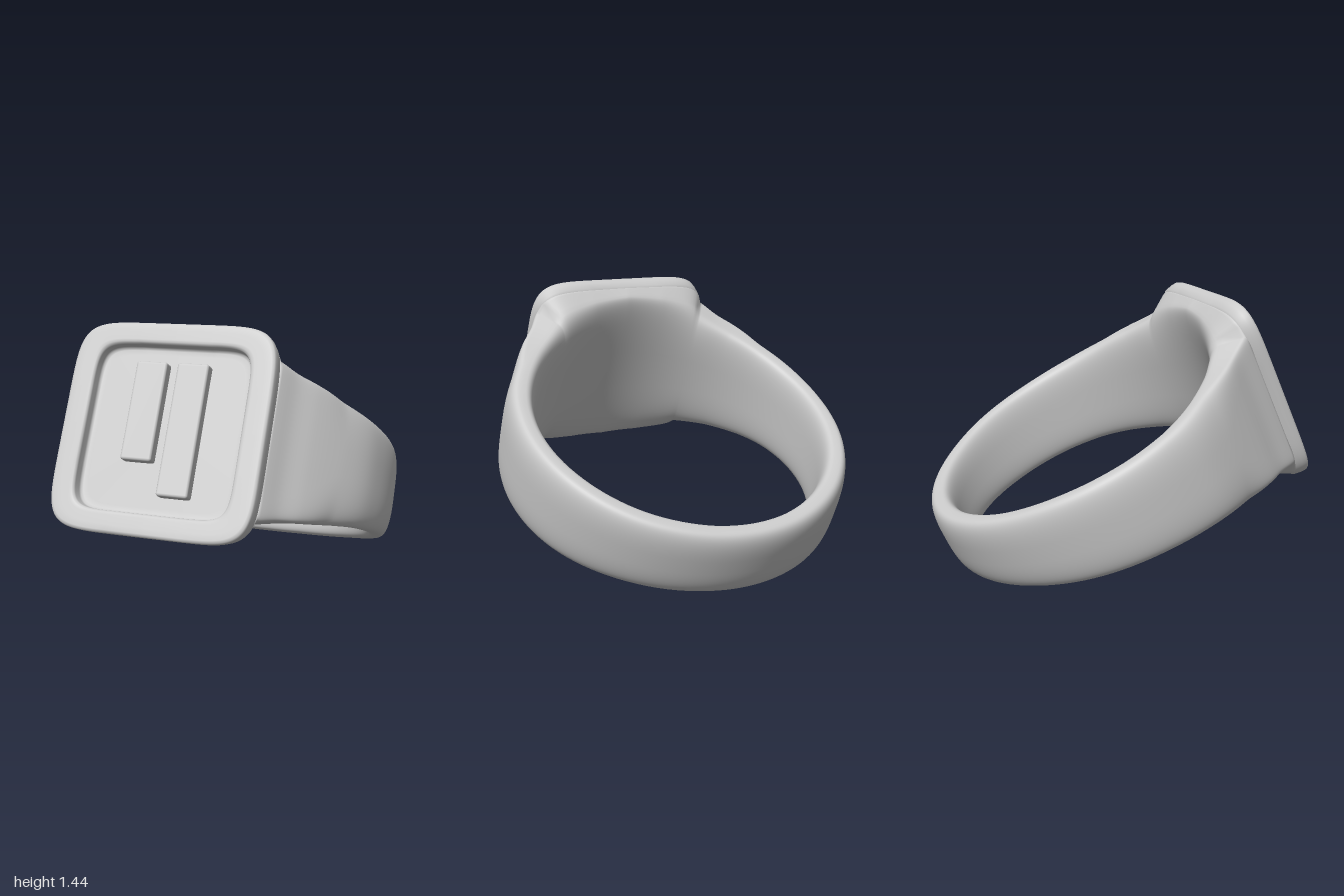
import * as THREE from 'three';
import { RoundedBoxGeometry } from 'three/addons/geometries/RoundedBoxGeometry.js';

const material = new THREE.MeshStandardMaterial({ color: 0xcccccc });
const spow = (v, e) => Math.sign(v) * Math.pow(Math.abs(v), e);
const lerp = THREE.MathUtils.lerp;
const DEG = Math.PI / 180;

// Skin a list of closed loops; optionally join the last loop to the first
function skin(loops, joinEnds) {
  const n = loops[0].length, m = loops.length, index = [];
  for (let i = 0; i < (joinEnds ? m : m - 1); i++) {
    for (let j = 0; j < n; j++) {
      const a = i * n + j, b = i * n + (j + 1) % n;
      const c = ((i + 1) % m) * n + j, d = ((i + 1) % m) * n + (j + 1) % n;
      index.push(a, b, c, b, d, c);
    }
  }
  const g = new THREE.BufferGeometry();
  g.setAttribute('position', new THREE.Float32BufferAttribute(loops.flat(2), 3));
  g.setIndex(index);
  g.computeVertexNormals();
  return g;
}

function mesh(name, geometry) {
  const m = new THREE.Mesh(geometry, material);
  m.name = name;
  return m;
}

// Smooth interpolation curve through [angle, value, value] rows
const curve = rows => new THREE.CatmullRomCurve3(
  rows.map(r => new THREE.Vector3(r[0], r[1], r[2] || 0)), false, 'centripetal');

const CENTRE = 0.1;       // finger hole centre along the face normal
const INNER = 0.8;        // finger hole radius
const FACE_ANGLE = 31;    // half angle covered by the flat face

// Outer band: angle from the face, radius, half width
const outer = curve([
  [31, 1.056, 0.40], [37.3, 1.006, 0.37], [44.6, 0.983, 0.352], [51.7, 0.968, 0.337],
  [58.6, 0.962, 0.32], [68.7, 0.96, 0.295], [77.9, 0.951, 0.28], [90, 0.945, 0.262],
  [115, 0.942, 0.237], [140, 0.94, 0.208], [165, 0.94, 0.192], [180, 0.94, 0.19]]);

// Inner band: angle, half width
const innerRows = [[0, 0.48], [15, 0.455], [30, 0.4], [45, 0.345], [60, 0.305], [75, 0.275],
  [90, 0.257], [115, 0.235], [140, 0.208], [165, 0.192], [180, 0.19]];
function innerHalf(angle) {
  let k = 0;
  while (k < innerRows.length - 2 && innerRows[k + 1][0] < angle) k++;
  const [a0, h0] = innerRows[k], [a1, h1] = innerRows[k + 1];
  return lerp(h0, h1, (angle - a0) / (a1 - a0));
}

// One rounded cross-section of the band
function section(angle, radius, half) {
  const hI = innerHalf(Math.abs(angle)), t = angle * DEG, loop = [];
  const nOut = 3 + 11 * (1 - THREE.MathUtils.smoothstep(Math.abs(angle), FACE_ANGLE, 58));
  for (let j = 0; j < 64; j++) {
    const a = j / 64 * Math.PI * 2, s = Math.sin(a), c = Math.cos(a);
    const e = 2 / (s > 0 ? nOut : 3.5);
    const k = (spow(s, e) + 1) / 2;
    const r = lerp(INNER, radius, k);
    loop.push([r * Math.sin(t), lerp(hI, half, k) * spow(c, e), CENTRE + r * Math.cos(t)]);
  }
  return loop;
}

function bandGeometry() {
  const rows = [];
  for (let i = 0; i < 28; i++) {          // under the face
    const angle = FACE_ANGLE * i / 28, x = 0.905 * Math.tan(angle * DEG);
    const h = 0.53 * Math.pow(1 - Math.pow(x / 0.56, 6.5), 1 / 6.5);
    rows.push([angle, 0.905 / Math.cos(angle * DEG), Math.max(h, 0.4)]);
  }
  for (let i = 0; i <= 90; i++) {         // shoulder and back
    const p = outer.getPoint(i / 90);
    rows.push([p.x, p.y, p.z]);
  }
  const mirrored = rows.slice(1, -1).reverse().map(([a, r, h]) => [-a, r, h]);
  return skin([...rows, ...mirrored].map(r => section(...r)), true);
}

// Rounded-square loop: half width, half height, level along the normal, squareness
function squareLoop([hx, hy, z, n]) {
  const loop = [];
  for (let j = 0; j < 160; j++) {
    const a = j / 160 * Math.PI * 2;
    loop.push([hx * spow(Math.cos(a), 2 / n), hy * spow(Math.sin(a), 2 / n), z]);
  }
  return loop;
}

export function createModel() {
  const ring = new THREE.Group();
  ring.name = 'ring';

  ring.add(mesh('band', bandGeometry()));

  // Face rim running into the sunken panel
  ring.add(mesh('facePlate', skin([
    [0.525, 0.505, 0.985, 6.5], [0.546, 0.532, 1.0, 6.5], [0.548, 0.541, 1.04, 6.5],
    [0.547, 0.543, 1.068, 6.5], [0.542, 0.539, 1.079, 6.5], [0.53, 0.528, 1.084, 6.5],
    [0.5, 0.5, 1.084, 6.7], [0.445, 0.452, 1.084, 8], [0.432, 0.44, 1.082, 8],
    [0.423, 0.432, 1.075, 8], [0.42, 0.429, 1.065, 8], [0.419, 0.428, 1.03, 8],
    [0.415, 0.424, 1.019, 8], [0.405, 0.414, 1.014, 8], [0.38, 0.39, 1.014, 8],
    [0, 0, 1.014, 8]].map(squareLoop), false)));

  // Raised bars: centre x, length, sharing a top line
  for (const [name, x, length] of [['shortBar', -0.115, 0.51], ['longBar', 0.11, 0.675]]) {
    const bar = mesh(name, new RoundedBoxGeometry(0.168, length, 0.08, 3, 0.014));
    bar.position.set(x, 0.342 - length / 2, 1.03);
    ring.add(bar);
  }

  // Lean the ring back so it rests on its lower rim
  ring.rotation.x = -24.4 * DEG;
  ring.position.set(0, 0.467, -0.212);

  const model = new THREE.Group();
  model.name = 'signetRing';
  model.add(ring);
  return model;
}
